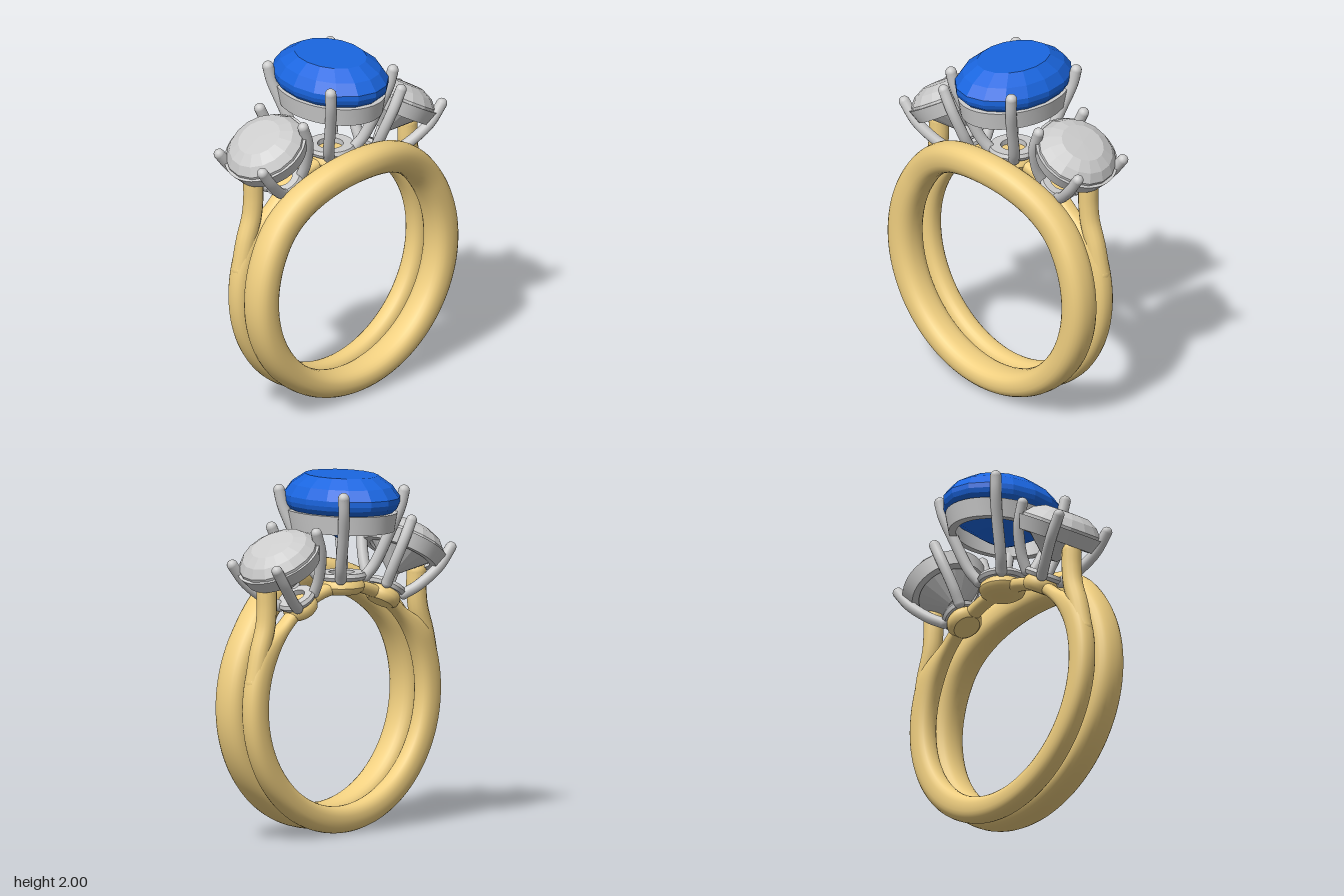
import * as THREE from 'three';
import { toCreasedNormals } from 'three/addons/utils/BufferGeometryUtils.js';

const CY = 0.745; // height of the finger hole's centre
const gold = new THREE.MeshStandardMaterial({ color: 0xf0cf80 });
const grey = new THREE.MeshStandardMaterial({ color: 0xcccccc });
const greyFacet = new THREE.MeshStandardMaterial({ color: 0xcccccc, flatShading: true });
const blueFacet = new THREE.MeshStandardMaterial({ color: 0x1a66e0, flatShading: true });

function add(parent, name, geometry, material) {
  const mesh = new THREE.Mesh(geometry, material);
  mesh.name = name;
  parent.add(mesh);
  return mesh;
}

// Ring whose section varies with the angle from the top:
// section(a) returns [inner radius, outer radius, z centre, z half width]
function bandGeometry(section) {
  const N = 160, M = 24, pos = [], idx = [];
  const soft = (v) => Math.sign(v) * Math.pow(Math.abs(v), 0.85);
  for (let i = 0; i < N; i++) {
    const a = (i / N) * Math.PI * 2;
    const [r0, r1, zc, zh] = section(a > Math.PI ? Math.PI * 2 - a : a);
    for (let j = 0; j < M; j++) {
      const b = (j / M) * Math.PI * 2;
      const r = (r0 + r1) / 2 + ((r1 - r0) / 2) * soft(Math.cos(b));
      pos.push(r * Math.sin(a), CY + r * Math.cos(a), zc + zh * soft(Math.sin(b)));
      const i2 = (i + 1) % N, j2 = (j + 1) % M;
      const p = i * M + j, q = i * M + j2, s = i2 * M + j, t = i2 * M + j2;
      idx.push(p, q, s, q, t, s);
    }
  }
  const g = new THREE.BufferGeometry();
  g.setAttribute('position', new THREE.Float32BufferAttribute(pos, 3));
  g.setIndex(idx);
  g.computeVertexNormals();
  return g;
}

// Turned part from [radius, height] pairs, squeezed in x for ovals
function turned(profile, segments, squeeze = 1) {
  const points = profile.map(([r, y]) => new THREE.Vector2(r, y));
  return new THREE.LatheGeometry(points, segments).scale(squeeze, 1, 1);
}
const turnedCreased = (profile, squeeze) => toCreasedNormals(turned(profile, 48, squeeze), 0.6);

// Round wire with a ball at each end
function wire(parent, name, points, radius, material) {
  const group = new THREE.Group();
  group.name = name;
  parent.add(group);
  const path = points.map((p) => new THREE.Vector3(...p));
  add(group, name + 'Shaft', new THREE.TubeGeometry(new THREE.CatmullRomCurve3(path), 24, radius, 14), material);
  for (const end of [path[0], path[path.length - 1]]) {
    add(group, name + 'End', new THREE.SphereGeometry(radius, 14, 10), material).position.copy(end);
  }
}

// Stone setting; heights run outward from the centre of the finger hole
function setting(parent, name, tilt, o) {
  const head = new THREE.Group();
  head.name = name;
  head.position.y = CY;
  head.rotation.z = -tilt;
  parent.add(head);
  add(head, 'gem', turned(o.gem, o.facets, o.squeeze), o.gemMaterial);
  add(head, 'basketRail', turnedCreased(o.rail, o.squeeze), grey);
  const [r, y] = o.base;
  add(head, 'baseRail', turnedCreased([
    [r * 0.55, y - 0.02], [r, y - 0.02], [r + 0.01, y], [r, y + 0.02], [r * 0.55, y + 0.02], [r * 0.55, y - 0.02],
  ]), grey);
  add(head, 'cup', turnedCreased([
    [0, 0.59], [r * 0.75, 0.59], [r * 0.92, 0.605], [r, 0.63], [r * 0.95, 0.655], [r * 0.75, y - 0.01], [0, y - 0.01],
  ]), gold);
  for (const sx of [-1, 1]) for (const sz of [-1, 1]) {
    wire(head, 'prong', o.prong.map(([x, h, z]) => [x * sx, h, z * sz]), o.prongRadius, grey);
  }
}

export function createModel() {
  const ring = new THREE.Group();
  ring.name = 'ring';

  // Front band, bowed forward at the top to clear the centre stone
  add(ring, 'frontBand', bandGeometry((a) => {
    const bow = 1 - THREE.MathUtils.smoothstep(a, 0, 1.02);
    const outer = 0.735 + 0.03 * THREE.MathUtils.smoothstep(a, -3, -1.5);
    const swell = 0.03 * (1 - THREE.MathUtils.smoothstep(a, 1.6, Math.PI));
    return [0.59, outer - 0.03 + swell, 0.168 + 0.097 * bow, 0.096 - 0.012 * bow];
  }), gold);

  // Rear band, thinning to a low bridge below the stones
  add(ring, 'rearBand', bandGeometry((a) => {
    const full = THREE.MathUtils.smoothstep(a, 0.75, 1.15);
    return [0.595, 0.665 + 0.08 * full, 0, 0.045 + 0.02 * full];
  }), gold);

  // Shoulder posts rising from the rear band to the side stones
  for (const s of [-1, 1]) {
    wire(ring, 'shoulderPost', [
      [0.675 * s, 0.9, 0], [0.64 * s, 1.06, 0], [0.595 * s, 1.2, 0], [0.583 * s, 1.3, 0], [0.583 * s, 1.4, 0],
    ], 0.056, gold);
  }

  // Oval centre stone
  setting(ring, 'centreSetting', 0, {
    gem: [[0, 0.885], [0.15, 0.955], [0.33, 1.06], [0.358, 1.085], [0.368, 1.11], [0.368, 1.14],
      [0.32, 1.2], [0.23, 1.255], [0, 1.255]],
    facets: 16, squeeze: 0.755, gemMaterial: blueFacet,
    rail: [[0.285, 0.95], [0.33, 0.95], [0.35, 1.055], [0.3, 1.055], [0.285, 0.95]],
    base: [0.13, 0.69],
    prong: [[0.095, 0.685, 0.09], [0.13, 0.75, 0.125], [0.185, 0.95, 0.2], [0.22, 1.08, 0.24], [0.235, 1.165, 0.253]],
    prongRadius: 0.032,
  });

  // Round side stones, leaning outward
  for (const s of [-1, 1]) {
    setting(ring, 'sideSetting', s * 0.533, {
      gem: [[0, 0.78], [0.04, 0.785], [0.215, 0.945], [0.229, 0.965], [0.229, 0.985], [0.19, 1.03],
        [0.125, 1.062], [0, 1.066]],
      facets: 16, squeeze: 1, gemMaterial: greyFacet,
      rail: [[0.175, 0.89], [0.215, 0.89], [0.243, 0.97], [0.215, 0.97], [0.175, 0.89]],
      base: [0.1, 0.69],
      prong: [[0.075, 0.685, 0.07], [0.115, 0.76, 0.11], [0.16, 0.9, 0.16], [0.178, 1.03, 0.175]],
      prongRadius: 0.031,
    });
  }
  return ring;
}
